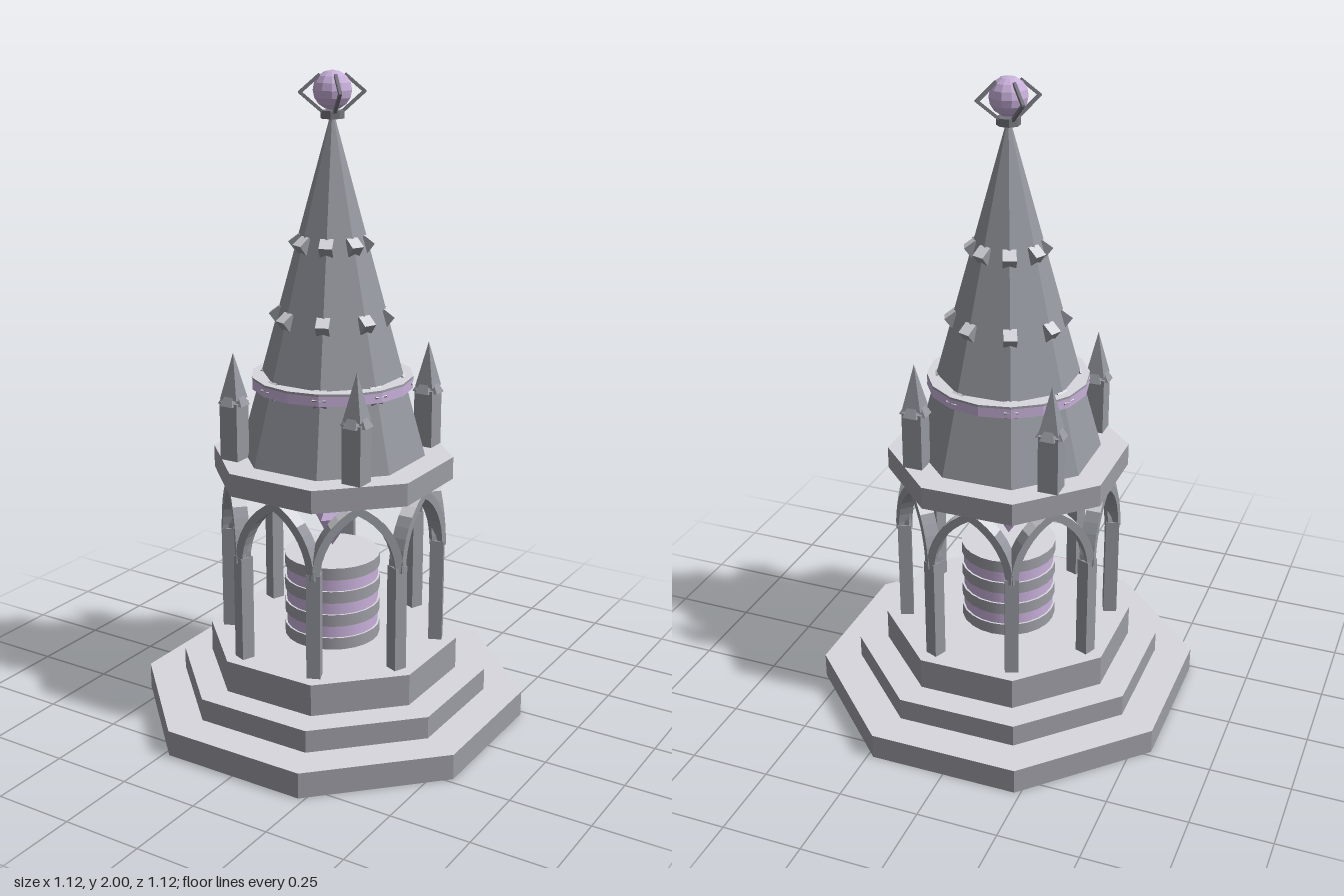
import * as THREE from 'three';

const mat = (name, color) => Object.assign(new THREE.MeshStandardMaterial({ color }), { name });

export function createModel() {
  const stone = mat('grey stone', 0x9c9ca4);
  const pale = mat('pale top stone', 0xd7d7de);
  const slate = mat('spire stone', 0x94979e);
  const iron = mat('dark iron', 0x74747c);
  const violet = mat('violet crystal', 0xc8b0da);

  const model = new THREE.Group();
  const EIGHTH = Math.PI / 4;
  const C8 = Math.cos(Math.PI / 8);

  const add = (parent, name, geometry, material, x = 0, y = 0, z = 0) => {
    const mesh = new THREE.Mesh(geometry, material);
    mesh.name = name;
    mesh.position.set(x, y, z);
    parent.add(mesh);
    return mesh;
  };
  const flat = (g) => {
    const f = g.index ? g.toNonIndexed() : g;
    f.computeVertexNormals();
    return f;
  };
  // Regroup faces so that upward ones take the second material
  const topped = (g) => {
    const f = g.index ? g.toNonIndexed() : g;
    f.clearGroups();
    const n = f.attributes.normal;
    for (let i = 0; i < n.count; i += 3) {
      f.addGroup(i, 3, (n.getY(i) + n.getY(i + 1) + n.getY(i + 2)) / 3 > 0.7 ? 1 : 0);
    }
    return f;
  };
  // Upright prism or frustum from y0 to y1
  const prism = (rTop, rBottom, y0, y1, sides, turn = 0) =>
    flat(new THREE.CylinderGeometry(rTop, rBottom, y1 - y0, sides).rotateY(turn).translate(0, (y0 + y1) / 2, 0));
  // Octagon given by its distance from centre to flat side
  const octagon = (aTop, aBottom, y0, y1) => prism(aTop / C8, aBottom / C8, y0, y1, 8, Math.PI / 8);
  const ring = (parent, name, count, start, build) => {
    for (let i = 0; i < count; i++) {
      const g = new THREE.Group();
      g.name = name;
      g.rotation.y = start + (i * Math.PI * 2) / count;
      build(g);
      parent.add(g);
    }
  };

  // Stepped base
  [[0.56, 0, 0.08], [0.45, 0.08, 0.15], [0.365, 0.15, 0.25]].forEach(([a, y0, y1]) =>
    add(model, 'baseStep', topped(octagon(a, a, y0, y1)), [stone, pale]));

  // Banded pedestal
  for (let i = 0; i < 7; i++) {
    const h = 0.27 / 7;
    const y = 0.25 + h * (i + 0.5);
    if (i % 2) add(model, 'pedestalGlowBand', new THREE.CylinderGeometry(0.144, 0.144, h, 24), violet, 0, y, 0);
    else add(model, 'pedestalDisc', topped(new THREE.CylinderGeometry(0.15, 0.15, h, 24)), [stone, pale], 0, y, 0);
  }

  // Floating crystal
  add(model, 'floatingCrystal', new THREE.OctahedronGeometry(0.067).scale(1, 1.5, 1), violet, 0, 0.64, 0);

  // Columns at the octagon corners
  ring(model, 'column', 8, Math.PI / 8, (g) =>
    add(g, 'columnShaft', new THREE.BoxGeometry(0.042, 0.33, 0.042), slate, 0, 0.415, 0.33));

  // Pointed arches between the columns
  const half = 0.14, rise = 0.22, band = 0.025;
  const R = (rise * rise + half * half) / (2 * half);
  const c = R - half;
  const arc = (r) => {
    const end = Math.acos(c / r);
    const right = Array.from({ length: 9 }, (_, i) => {
      const t = (end * i) / 8;
      return new THREE.Vector2(-c + r * Math.cos(t), r * Math.sin(t));
    });
    const left = right.slice(0, 8).reverse().map((p) => new THREE.Vector2(-p.x, p.y));
    return [...right, ...left];
  };
  const archGeometry = topped(new THREE.ExtrudeGeometry(
    new THREE.Shape([...arc(R), ...arc(R - band).reverse()]), { depth: 0.045, bevelEnabled: false }));
  ring(model, 'arch', 8, 0, (g) => add(g, 'archBand', archGeometry, [slate, pale], 0, 0.563, 0.283));

  // Plate over the arches, and the spire
  add(model, 'crownPlate', topped(octagon(0.345, 0.345, 0.78, 0.85)), [stone, pale]);
  add(model, 'spire', octagon(0.006, 0.265, 0.85, 1.87), slate);

  // Collar round the spire above its glowing band
  add(model, 'spireCollar', topped(prism(0.247, 0.247, 1.093, 1.1, 16)), [stone, pale]);
  add(model, 'collarGlowBand', prism(0.247, 0.247, 1.063, 1.093, 16), violet);

  // Crockets leaning out from the spire edges
  const crocketGeometry = topped(new THREE.BoxGeometry(0.04, 0.036, 0.04));
  [1.078, 1.28, 1.5].forEach((y) => ring(model, 'crocket', 8, Math.PI / 8, (g) => {
    const r = (0.257 * (1.88 - y)) / C8;
    add(g, 'crocketBlock', crocketGeometry, [slate, pale], 0, y, r - 0.003).rotation.x = 0.65;
  }));

  // Corner pinnacles with small sloping gables
  const gable = prism(0.2, 0.5, 0, 0.045, 4, EIGHTH);
  ring(model, 'pinnacle', 4, EIGHTH, (g) => {
    const p = new THREE.Group();
    p.position.z = 0.215 * Math.SQRT2;
    p.rotation.y = EIGHTH;
    g.add(p);
    add(p, 'pinnacleShaft', new THREE.BoxGeometry(0.062, 0.18, 0.062), slate, 0, 0.94, 0);
    add(p, 'pinnacleGableX', gable, slate, 0, 1.022, 0).scale.set(0.122, 1, 0.064);
    add(p, 'pinnacleGableZ', gable, slate, 0, 1.022, 0).scale.set(0.064, 1, 0.122);
    add(p, 'pinnacleTip', prism(0, 0.042, 1.04, 1.18, 4, EIGHTH), slate);
  });

  // Finial: collar, orb and four bent prongs
  add(model, 'finialCollar', prism(0.035, 0.035, 1.862, 1.885, 8, Math.PI / 8), iron);
  add(model, 'finialOrb', flat(new THREE.SphereGeometry(0.057, 12, 8)), violet, 0, 1.943, 0);
  const bar = (parent, a, b) => {
    const dir = b.clone().sub(a);
    const mesh = add(parent, 'prongBar', new THREE.BoxGeometry(0.009, dir.length() + 0.006, 0.009), iron);
    mesh.position.copy(a).add(b).multiplyScalar(0.5);
    mesh.quaternion.setFromUnitVectors(new THREE.Vector3(0, 1, 0), dir.normalize());
  };
  ring(model, 'prong', 4, EIGHTH, (g) => {
    const pts = [[1.88, 0.028], [1.938, 0.096], [1.985, 0.04]].map(([y, z]) => new THREE.Vector3(0, y, z));
    bar(g, pts[0], pts[1]);
    bar(g, pts[1], pts[2]);
  });

  return model;
}
